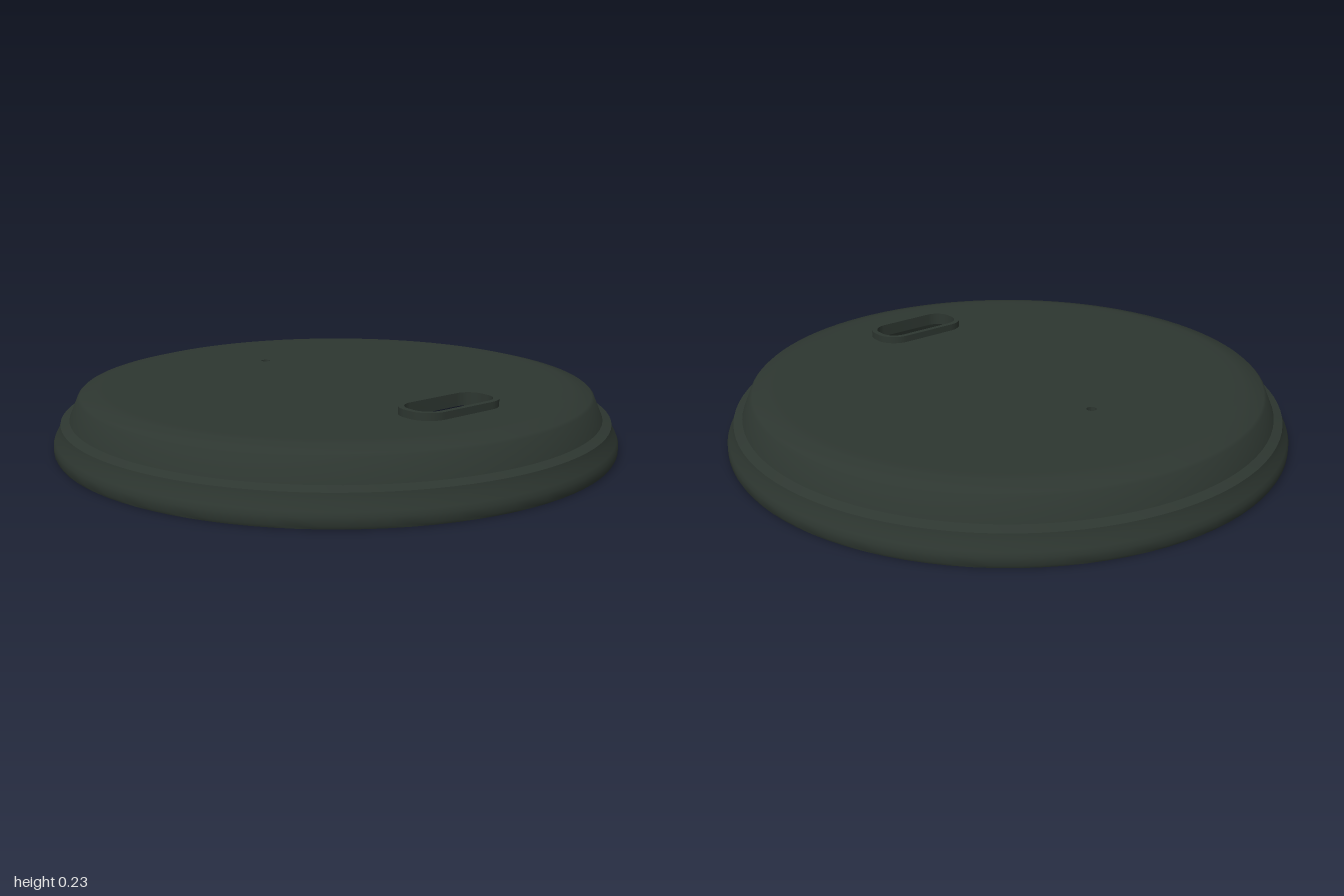
import * as THREE from 'three';
import { toCreasedNormals } from 'three/addons/utils/BufferGeometryUtils.js';

const SEGMENTS = 96;
const TOP = 0.21, THICK = 0.02, PLATE_R = 0.8;

// Rounded rectangle centred on (0, cy)
function roundedRect(PathType, w, h, r, cy) {
  const x = w / 2 - r, y = h / 2 - r, q = Math.PI / 2;
  const p = new PathType();
  p.absarc(x, cy + y, r, 0, q);
  p.absarc(-x, cy + y, r, q, 2 * q);
  p.absarc(-x, cy - y, r, 2 * q, 3 * q);
  p.absarc(x, cy - y, r, 3 * q, 4 * q);
  p.closePath();
  return p;
}

// Flat shape laid horizontally, with its underside at the given height
function slab(shape, y, depth, curveSegments) {
  const g = new THREE.ExtrudeGeometry(shape, { depth, bevelEnabled: false, curveSegments });
  g.rotateX(-Math.PI / 2);
  g.translate(0, y, 0);
  return toCreasedNormals(g, 0.6);
}

export function createModel() {
  const group = new THREE.Group();
  group.name = 'cupLid';
  const material = new THREE.MeshStandardMaterial({ color: 0x2d3630, side: THREE.DoubleSide });
  const add = (name, geometry) => {
    const mesh = new THREE.Mesh(geometry, material);
    mesh.name = name;
    group.add(mesh);
  };

  // Skirt: outer wall upwards, then inner wall back down
  const profile = [
    [0.98, 0], [0.995, 0], [1, 0.01], [1, 0.035], [0.994, 0.05], [0.98, 0.075], [0.974, 0.1],
    [0.943, 0.112], [0.912, 0.185], [0.903, 0.193], [0.845, 0.208], [0.83, TOP], [PLATE_R, TOP],
    [PLATE_R, TOP - THICK], [0.835, 0.189], [0.89, 0.176], [0.923, 0.1], [0.955, 0.086],
    [0.962, 0.068], [0.98, 0.035], [0.98, 0],
  ].map(([r, y]) => new THREE.Vector2(r, y));
  add('skirt', toCreasedNormals(new THREE.LatheGeometry(profile, SEGMENTS), 0.5));

  // Flat top with the drinking slot and the vent hole
  const plate = new THREE.Shape().absarc(0, 0, PLATE_R, 0, Math.PI * 2);
  const vent = new THREE.Path().absarc(0, 0.44, 0.017, 0, Math.PI * 2);
  plate.holes.push(roundedRect(THREE.Path, 0.33, 0.14, 0.06, -0.58), vent);
  add('topPlate', slab(plate, TOP - THICK, THICK, SEGMENTS));

  // Raised lip around the drinking slot
  const lip = roundedRect(THREE.Shape, 0.37, 0.18, 0.08, -0.58);
  lip.holes.push(roundedRect(THREE.Path, 0.33, 0.14, 0.06, -0.58));
  add('slotLip', slab(lip, TOP - 0.005, 0.03, 12));

  return group;
}
